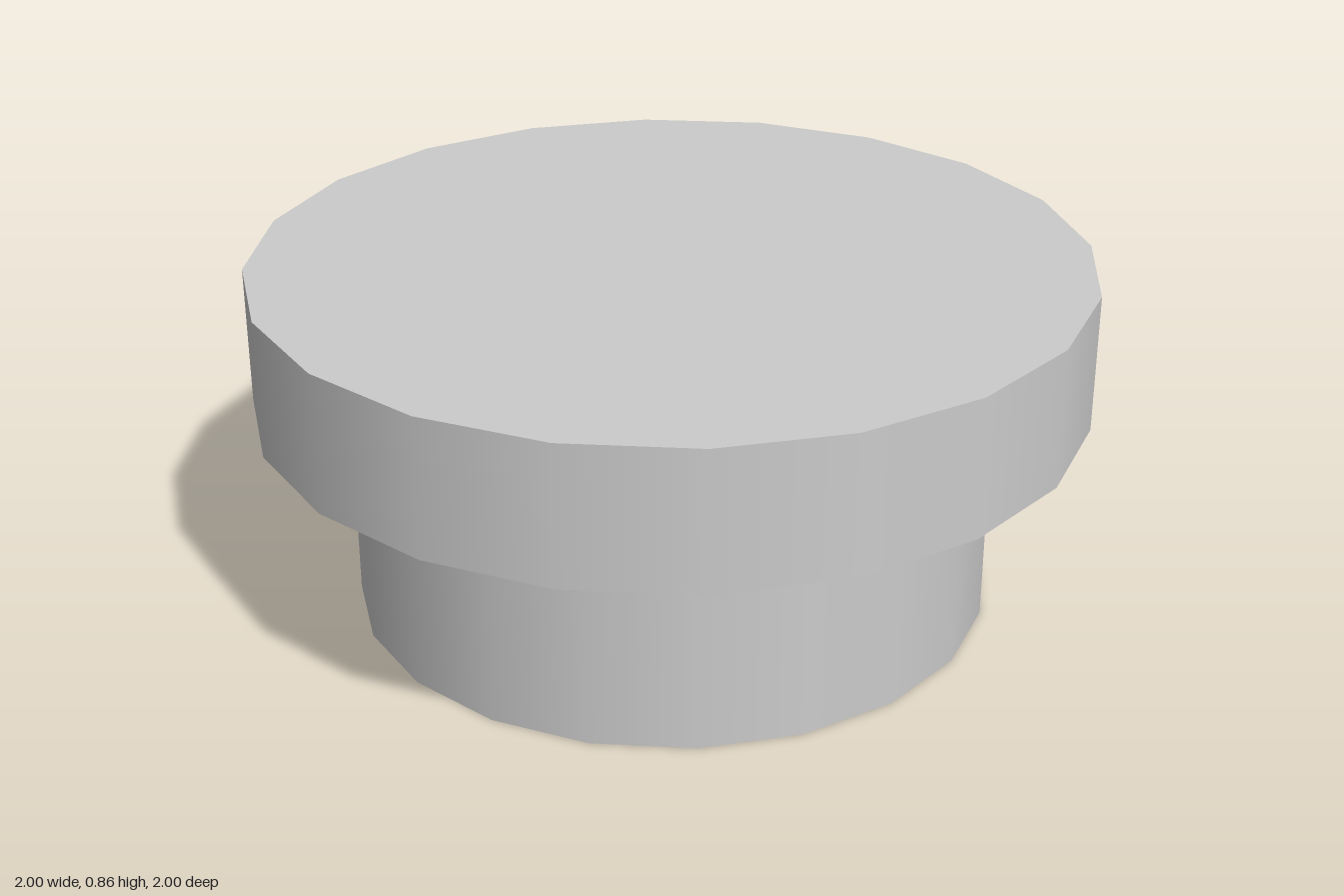
import * as THREE from 'three';

const SIDES = 20;

export function createModel() {
  const group = new THREE.Group();
  group.name = 'roundPlug';
  const material = new THREE.MeshStandardMaterial({ color: 0xcccccc });

  // A closed drum between two heights, smooth around its side
  const addDrum = (name, radius, bottom, top) => {
    const geometry = new THREE.CylinderGeometry(radius, radius, top - bottom, SIDES);
    const mesh = new THREE.Mesh(geometry, material);
    mesh.name = name;
    mesh.position.y = (bottom + top) / 2;
    group.add(mesh);
  };

  addDrum('stem', 0.773, 0, 0.523); // narrow lower body
  addDrum('cap', 1, 0.523, 0.857);  // wide overhanging disc

  return group;
}
